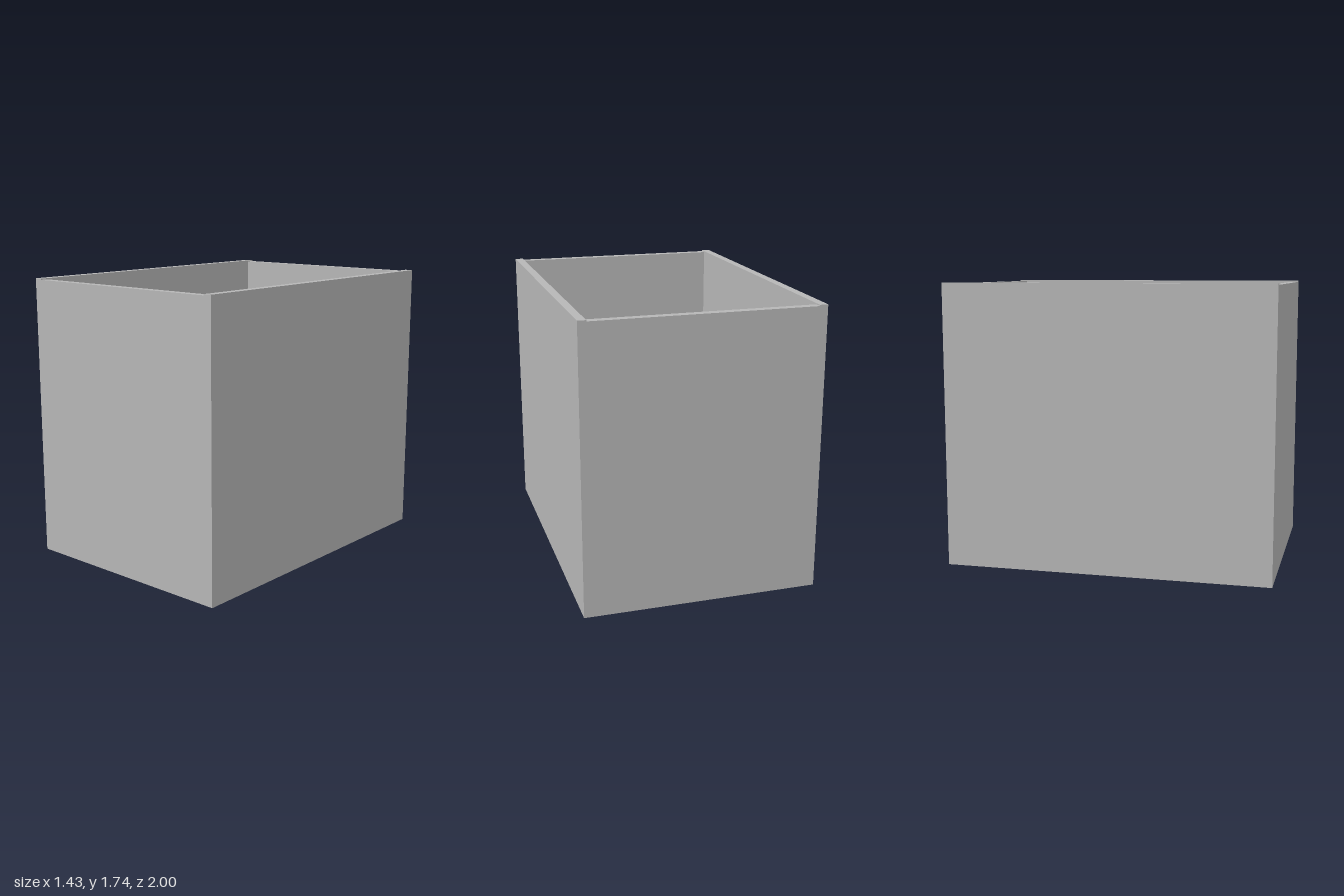
import * as THREE from 'three';

export function createModel() {
  const model = new THREE.Group();
  model.name = 'dividedBin';
  const grey = new THREE.MeshStandardMaterial({ color: 0xb6b6b6 });
  grey.name = 'plain grey';

  const W = 1.426, H = 1.735, D = 2, T = 0.05; // outer size and wall thickness
  const endHeight = 1.728; // end walls sit slightly below the side walls
  const innerW = W - 2 * T, innerD = D - 2 * T;

  // Box resting on height y
  function addBox(name, w, h, d, x, y, z) {
    const mesh = new THREE.Mesh(new THREE.BoxGeometry(w, h, d), grey);
    mesh.name = name;
    mesh.position.set(x, y + h / 2, z);
    model.add(mesh);
  }

  // Floor panel between the walls
  addBox('floor', innerW, T, innerD, 0, 0, 0);

  // Mirrored side walls and end walls
  for (const s of [1, -1]) {
    addBox(s > 0 ? 'leftWall' : 'rightWall', T, H, D, s * (W - T) / 2, 0, 0);
    addBox(s > 0 ? 'frontWall' : 'backWall', innerW, endHeight, T, 0, 0, s * (D - T) / 2);
  }

  // Thick central divider, lower than the rim
  addBox('centreDivider', 0.215, 1.12 - T, innerD, 0, T, 0);

  return model;
}
